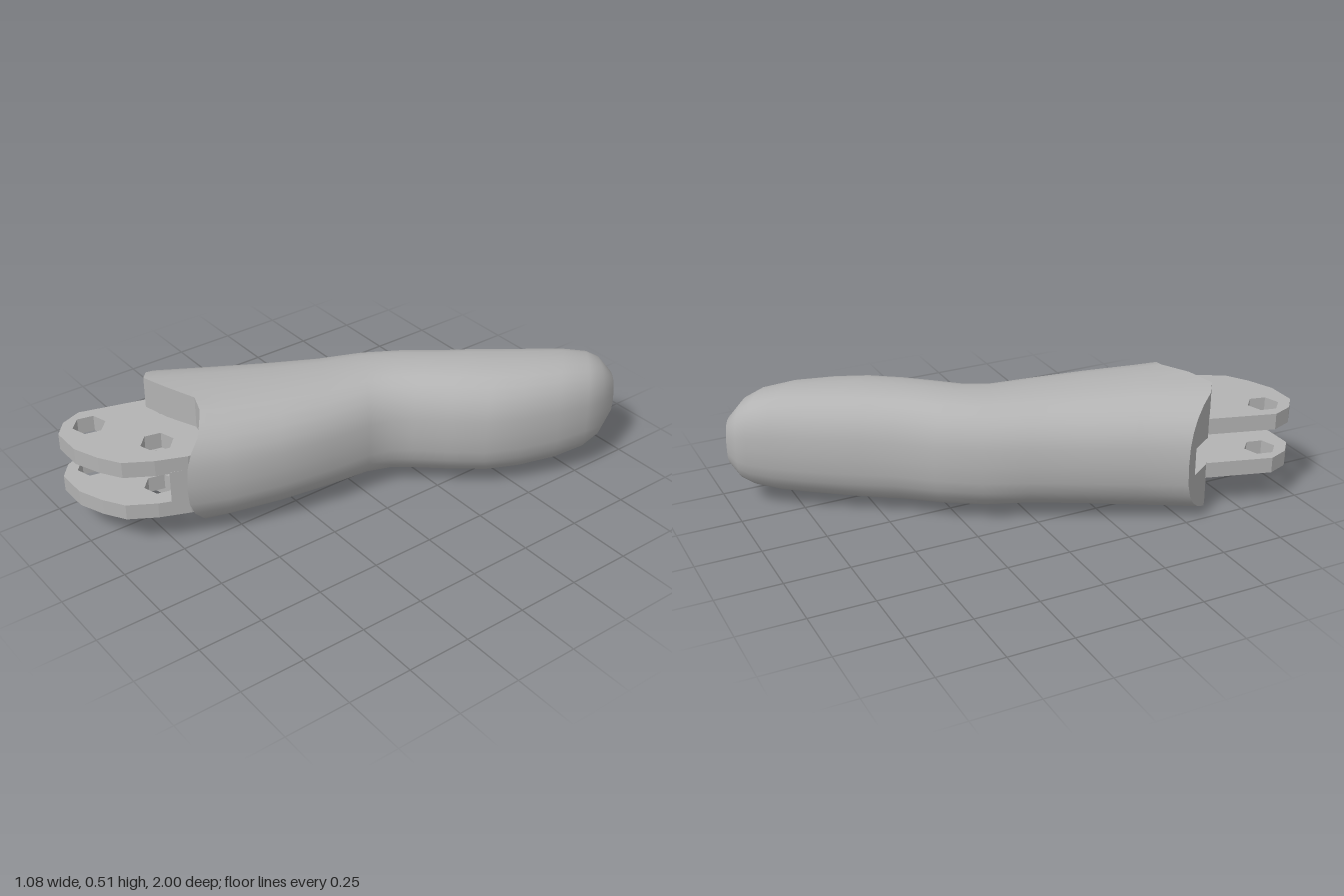
import * as THREE from 'three';

const HALF = 14;            // steps along the upper half of each cross-section
const RING = HALF * 2;
const POWER = 0.8;          // below 1 gives boxier ovals

// Cross-sections from knuckle to tip: left x, z, right x, z, bottom y, top y
const SECTIONS = [
  [-0.54, 0.47, 0.00, 0.72, 0.002, 0.513],
  [-0.46, 0.31, 0.06, 0.58, 0.012, 0.502],
  [-0.37, 0.13, 0.11, 0.38, 0.023, 0.49],
  [-0.28, -0.05, 0.14, 0.18, 0.033, 0.481],
  [-0.21, -0.21, 0.15, 0.01, 0.036, 0.478],
  [-0.11, -0.36, 0.17, -0.07, 0.036, 0.48],
  [0.00, -0.49, 0.22, -0.14, 0.034, 0.484],
  [0.06, -0.59, 0.31, -0.24, 0.033, 0.485],
  [0.13, -0.70, 0.40, -0.35, 0.034, 0.482],
  [0.19, -0.79, 0.46, -0.47, 0.04, 0.476],
  [0.25, -0.88, 0.51, -0.62, 0.052, 0.466],
  [0.30, -0.95, 0.535, -0.75, 0.075, 0.445],
  [0.33, -0.98, 0.53, -0.84, 0.105, 0.415],
  [0.38, -1.00, 0.49, -0.94, 0.17, 0.35],
];

// Scalloped front edge seen from above: share of the width, x, z
const FRONT = [
  [0, -0.54, 0.47], [0.26, -0.44, 0.62], [0.34, -0.40, 0.65], [0.46, -0.32, 0.65],
  [0.53, -0.25, 0.60], [0.635, -0.17, 0.57], [0.756, -0.10, 0.59], [0.9, -0.03, 0.64], [1, 0, 0.72],
];
const frontPoint = (u) => {
  let k = 1;
  while (k < FRONT.length - 1 && u > FRONT[k][0]) k++;
  const [a, b] = [FRONT[k - 1], FRONT[k]];
  const t = (u - a[0]) / (b[0] - a[0]);
  return [a[1] + (b[1] - a[1]) * t, a[2] + (b[2] - a[2]) * t];
};

const soft = (v) => Math.sign(v) * Math.abs(v) ** POWER;
function ringPoint(j, i) {
  const [lx, lz, rx, rz, y0, y1] = SECTIONS[j];
  const a = (i / RING) * Math.PI * 2;
  const u = (1 - soft(Math.cos(a))) / 2;
  const y = (y0 + y1) / 2 + soft(Math.sin(a)) * (y1 - y0) / 2;
  const [x, z] = j === 0 ? frontPoint(u) : [lx + (rx - lx) * u, lz + (rz - lz) * u];
  return [x, y, z];
}

// Bent, rounded finger shell
function bodyGeometry() {
  const pos = [], index = [];
  const last = SECTIONS.length - 1;
  for (let j = 0; j <= last; j++) for (let i = 0; i < RING; i++) pos.push(...ringPoint(j, i));
  const tip = pos.length / 3;
  pos.push(0.44, 0.26, -0.985);
  for (let j = 0; j <= last; j++) {
    for (let i = 0; i < RING; i++) {
      const a = j * RING + i, b = j * RING + (i + 1) % RING;
      if (j === last) index.push(a, b, tip);
      else index.push(a, b, b + RING, a, b + RING, a + RING);
    }
  }
  const g = new THREE.BufferGeometry();
  g.setAttribute('position', new THREE.Float32BufferAttribute(pos, 3));
  g.setIndex(index);
  g.computeVertexNormals();
  return g;
}

// Front face with a pocket cut between the two hinge plates
function frontGeometry() {
  const pos = [];
  const quad = (a, b, c, d) => pos.push(...a, ...b, ...c, ...a, ...c, ...d);
  const wall = (p, q, py0, py1, qy0 = py0, qy1 = py1) => quad(
    [p[0], py0, p[1]], [q[0], qy0, q[1]], [q[0], qy1, q[1]], [p[0], py1, p[1]]);
  const floorY = 0.2, roofY = 0.31, first = 3, end = 11;
  const A = [-0.36, 0.26], B = [-0.15, 0.36];
  const inner = (i) => {
    const t = (i - first) / (end - first);
    return [A[0] + (B[0] - A[0]) * t, A[1] + (B[1] - A[1]) * t];
  };
  const flat = (p, y) => [p[0], y, p[1]];
  const edge = (i) => {
    const top = ringPoint(0, i), bottom = ringPoint(0, (RING - i) % RING);
    return { p: [top[0], top[2]], y0: bottom[1], y1: top[1] };
  };
  for (let i = 0; i < HALF; i++) {
    const a = edge(i), b = edge(i + 1);
    if (i < first || i >= end) {
      wall(a.p, b.p, a.y0, a.y1, b.y0, b.y1);
      continue;
    }
    wall(a.p, b.p, a.y0, floorY, b.y0, floorY);
    wall(a.p, b.p, roofY, a.y1, roofY, b.y1);
    const c = inner(i), d = inner(i + 1);
    quad(flat(a.p, floorY), flat(b.p, floorY), flat(d, floorY), flat(c, floorY));
    quad(flat(c, roofY), flat(d, roofY), flat(b.p, roofY), flat(a.p, roofY));
  }
  wall(edge(first).p, A, floorY, roofY);
  wall(A, B, floorY, roofY);
  wall(B, edge(end).p, floorY, roofY);
  const g = new THREE.BufferGeometry();
  g.setAttribute('position', new THREE.Float32BufferAttribute(pos, 3));
  g.computeVertexNormals();
  return g;
}

// Horizontal slab from an x, z outline, with optional six-sided holes
function slab(points, y, height, holes = []) {
  const shape = new THREE.Shape(points.map(([x, z]) => new THREE.Vector2(x, -z)));
  for (const [x, z, r] of holes) {
    const ring = [];
    for (let k = 0; k < 6; k++) {
      const a = k * Math.PI / 3 + 0.3;
      ring.push(new THREE.Vector2(x + Math.cos(a) * r, -z + Math.sin(a) * r));
    }
    shape.holes.push(new THREE.Path(ring));
  }
  const g = new THREE.ExtrudeGeometry(shape, { depth: height, bevelEnabled: false });
  return g.rotateX(-Math.PI / 2).translate(0, y, 0);
}

export function createModel() {
  const model = new THREE.Group();
  model.name = 'fingerSegment';
  const grey = new THREE.MeshStandardMaterial({ color: 0xb3b3b3, side: THREE.DoubleSide });
  grey.name = 'plainGrey';
  const add = (name, geometry) => {
    const mesh = new THREE.Mesh(geometry, grey);
    mesh.name = name;
    model.add(mesh);
  };

  add('fingerBody', bodyGeometry());
  add('frontFaceAndPocket', frontGeometry());

  // Pair of hinge plates with pin holes
  const plate = [
    [-0.435, 0.61], [-0.51, 0.87], [-0.48, 0.95], [-0.42, 1.0], [-0.30, 1.0], [-0.20, 0.96],
    [-0.12, 0.91], [-0.06, 0.81], [-0.015, 0.70], [-0.01, 0.66], [-0.035, 0.62],
    [-0.10, 0.575], [-0.17, 0.555], [-0.25, 0.585], [-0.32, 0.635], [-0.40, 0.635],
  ];
  const holes = [[-0.41, 0.88, 0.062], [-0.16, 0.74, 0.062]];
  add('upperHingePlate', slab(plate, 0.318, 0.064, holes));
  add('lowerHingePlate', slab(plate, 0.136, 0.062, holes));

  // Stop wedge joining the plates at the right edge
  add('hingeStop', slab([[-0.07, 0.56], [-0.075, 0.66], [-0.04, 0.765], [-0.015, 0.70], [-0.01, 0.64]], 0.19, 0.135));
  return model;
}
